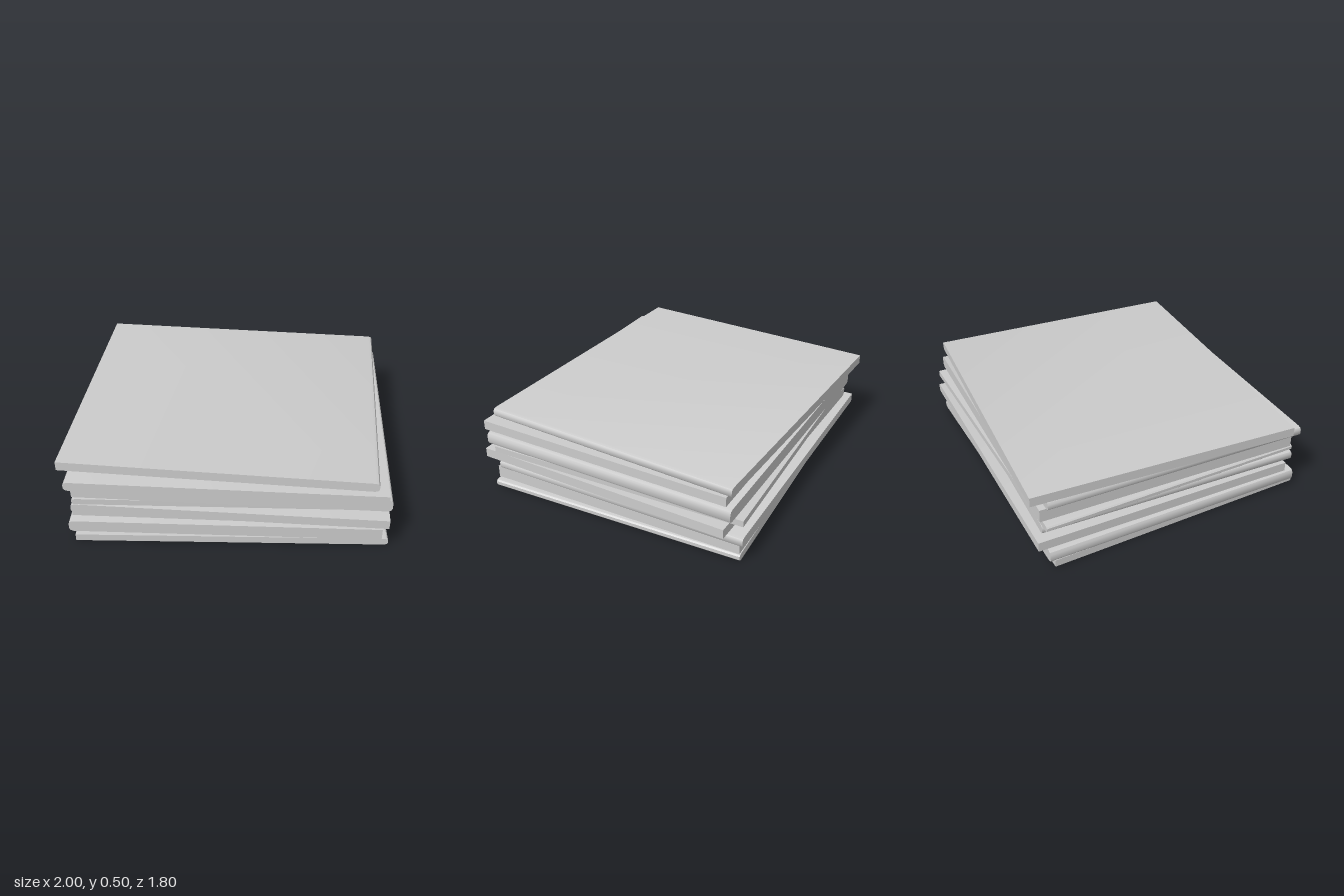
import * as THREE from 'three';
import { toCreasedNormals } from 'three/addons/utils/BufferGeometryUtils.js';

const WIDTH = 1.86, DEPTH = 1.65, BULGE = 0.025;

// Closed book: flat slab with a softly rounded spine on its +x or -x side
function bookGeometry(height, spineSide) {
  const half = WIDTH / 2, inner = half - BULGE;
  const points = [
    [-half, 0], [inner, 0], [inner + BULGE * 0.7, height * 0.08],
    [half, height * 0.27], [half, height * 0.73],
    [inner + BULGE * 0.7, height * 0.92], [inner, height], [-half, height],
  ].map(([x, y]) => new THREE.Vector2(x * spineSide, y));
  const geometry = new THREE.ExtrudeGeometry(new THREE.Shape(points), {
    depth: DEPTH, bevelEnabled: false,
  });
  geometry.translate(0, 0, -DEPTH / 2);
  return toCreasedNormals(geometry, 0.6);
}

// Bottom to top: base y, top y, centre x, centre z, turn, spine side
const BOOKS = [
  [0, 0.046, 0.005, 0.017, 0.02, 1],
  [0.046, 0.123, -0.02, 0.005, 0, -1],
  [0.125, 0.184, 0.007, -0.037, -0.012, 1],
  [0.19, 0.249, 0.035, 0.032, -0.038, -1],
  [0.254, 0.293, 0.007, -0.01, 0.01, -1],
  [0.293, 0.374, 0.035, 0.008, -0.027, 1],
  [0.375, 0.434, 0.006, 0.047, -0.027, -1],
  [0.441, 0.499, -0.021, -0.02, -0.064, 1],
];

export function createModel() {
  const stack = new THREE.Group();
  stack.name = 'bookStack';
  const material = new THREE.MeshStandardMaterial({ color: 0xcccccc });
  BOOKS.forEach(([base, top, x, z, turn, spineSide], i) => {
    const book = new THREE.Mesh(bookGeometry(top - base, spineSide), material);
    book.name = `book${i + 1}`;
    book.position.set(x, base, z);
    book.rotation.y = turn;
    stack.add(book);
  });
  return stack;
}
